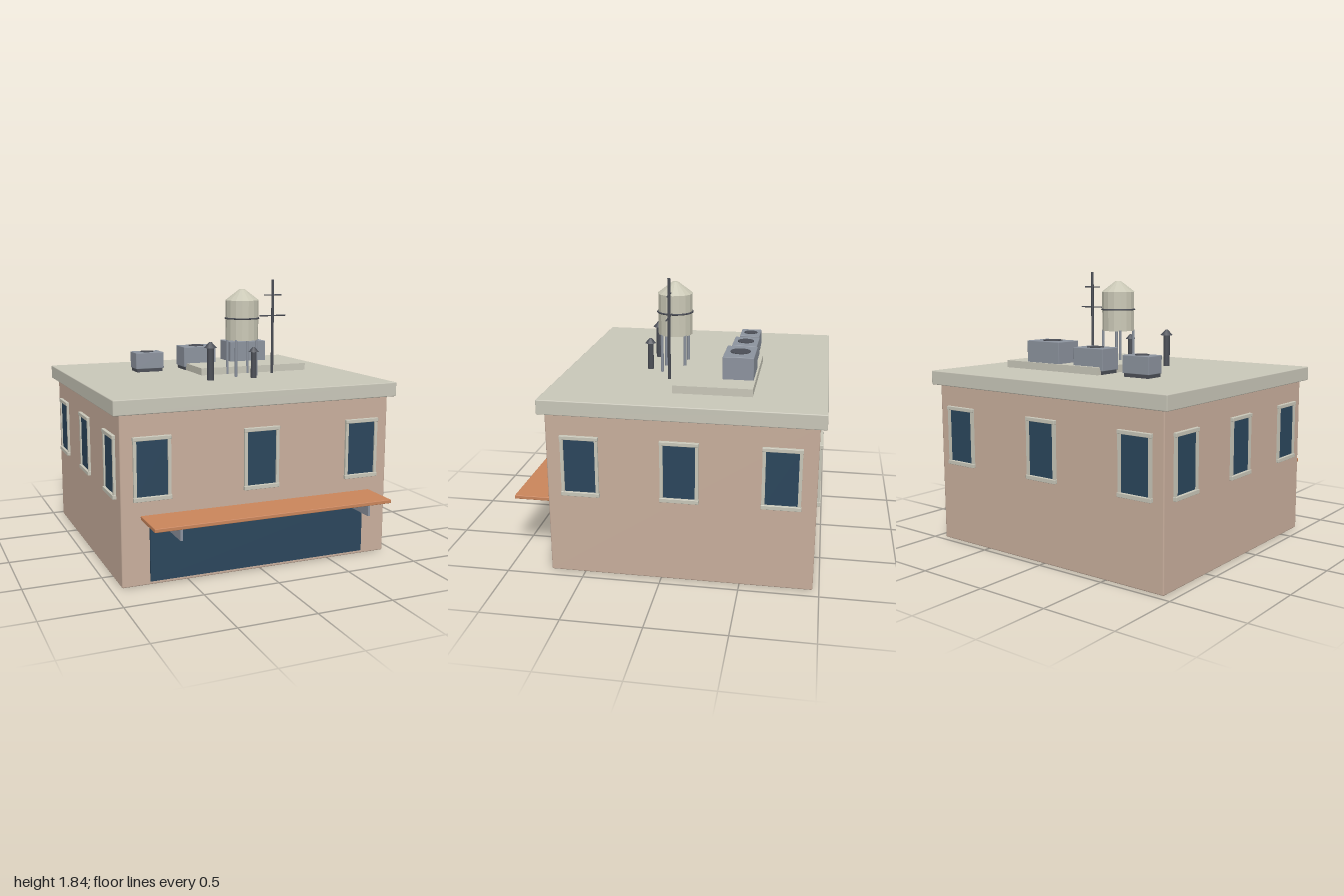
import * as THREE from 'three';
import { RoundedBoxGeometry } from 'three/addons/geometries/RoundedBoxGeometry.js';

const mat = (name, color, flatShading = false) => {
  const m = new THREE.MeshStandardMaterial({ color, flatShading });
  m.name = name;
  return m;
};

export function createModel() {
  const plaster = mat('plaster', 0xc9af9d);
  const stone = mat('stone', 0xc9c7b9);
  const tankPaint = mat('tankPaint', 0xc9c7b5, true);
  const glass = mat('glass', 0x2b465c);
  const awningPaint = mat('awningPaint', 0xca855b);
  const metal = mat('metal', 0x8c939e);
  const darkMetal = mat('darkMetal', 0x4b4e56);

  const model = new THREE.Group();
  model.name = 'building';

  const add = (parent, name, geometry, material, x, y, z) => {
    const mesh = new THREE.Mesh(geometry, material);
    mesh.name = name;
    mesh.position.set(x, y, z);
    parent.add(mesh);
    return mesh;
  };
  // Box given by its lower and upper limits, with an optional softened edge
  const box = (parent, name, material, [x0, x1], [y0, y1], [z0, z1], bevel = 0) => {
    const s = [x1 - x0, y1 - y0, z1 - z0];
    const geo = bevel ? new RoundedBoxGeometry(...s, 1, bevel) : new THREE.BoxGeometry(...s);
    return add(parent, name, geo, material, (x0 + x1) / 2, (y0 + y1) / 2, (z0 + z1) / 2);
  };
  // Upright cylinder between two heights
  const post = (parent, name, material, x, z, y0, y1, rBottom, rTop = rBottom, sides = 12) =>
    add(parent, name, new THREE.CylinderGeometry(rTop, rBottom, y1 - y0, sides), material, x, (y0 + y1) / 2, z);

  // Main block and overhanging roof slab
  const halfW = 0.93, zFront = 0.725, zBack = -0.96, zMid = -0.118;
  const roofY = 1.175;
  box(model, 'walls', plaster, [-halfW, halfW], [0, 1.09], [zBack, zFront], 0.008);
  box(model, 'roofSlab', stone, [-0.975, 0.975], [1.08, roofY], [-1, 0.763], 0.006);

  // Framed window, built facing +z and turned onto its wall
  const addWindow = (x, z, turn) => {
    const w = new THREE.Group();
    w.name = 'window';
    box(w, 'windowGlass', glass, [-0.105, 0.105], [0.56, 0.92], [-0.003, 0.006]);
    for (const s of [-1, 1]) {
      const xs = [s * 0.1, s * 0.12].sort((a, b) => a - b);
      box(w, 'windowJamb', stone, xs, [0.56, 0.92], [-0.005, 0.016]);
    }
    box(w, 'windowLintel', stone, [-0.123, 0.123], [0.915, 0.94], [-0.005, 0.021], 0.003);
    box(w, 'windowSill', stone, [-0.123, 0.123], [0.54, 0.567], [-0.005, 0.023], 0.003);
    w.position.set(x, 0, z);
    w.rotation.y = turn;
    model.add(w);
  };
  for (const i of [-1, 0, 1]) {
    addWindow(i * 0.73, zFront, 0);
    addWindow(i * 0.73, zBack, Math.PI);
    addWindow(halfW, zMid + i * 0.628, Math.PI / 2);
    addWindow(-halfW, zMid + i * 0.628, -Math.PI / 2);
  }

  // Shop front with awning on two brackets
  box(model, 'shopWindow', glass, [-0.75, 0.75], [0.025, 0.393], [0.72, 0.739]);
  box(model, 'awning', awningPaint, [-0.805, 0.805], [0.423, 0.447], [0.72, 1], 0.004);
  for (const s of [-1, 1]) {
    box(model, 'awningBracket', metal, [s * 0.64 - 0.007, s * 0.64 + 0.007], [0.355, 0.424], [0.72, 0.998]);
  }

  // Raised roof platform
  box(model, 'roofPlatform', stone, [-0.11, 0.71], [1.17, 1.225], [-0.54, -0.037]);

  // Cooling units: centre x, width, depth, top, fan radius
  for (const [x, w, d, top, r] of [
    [-0.385, 0.21, 0.142, 1.315, 0.047],
    [-0.002, 0.25, 0.17, 1.345, 0.056],
    [0.38, 0.29, 0.2, 1.372, 0.066],
  ]) {
    const unit = new THREE.Group();
    unit.name = 'coolingUnit';
    const z = -0.428;
    box(unit, 'unitBase', darkMetal, [x - w * 0.46, x + w * 0.46], [1.17, 1.2], [z - d * 0.46, z + d * 0.46]);
    box(unit, 'unitCase', metal, [x - w / 2, x + w / 2], [1.198, top], [z - d / 2, z + d / 2], 0.004);
    post(unit, 'unitFan', darkMetal, x, z, top - 0.003, top + 0.005, r, r, 16);
    model.add(unit);
  }

  // Water tank on four legs
  const tank = new THREE.Group();
  tank.name = 'waterTank';
  const tx = 0.167, tz = 0.035;
  post(tank, 'tankBody', tankPaint, tx, tz, 1.425, 1.7, 0.115, 0.115, 16);
  post(tank, 'tankRoof', tankPaint, tx, tz, 1.7, 1.775, 0.118, 0.02, 16);
  const band = add(tank, 'tankBand', new THREE.TorusGeometry(0.117, 0.006, 6, 24), darkMetal, tx, 1.576, tz);
  band.rotation.x = Math.PI / 2;
  for (const sx of [-1, 1]) for (const sz of [-1, 1]) {
    post(tank, 'tankLeg', metal, tx + sx * 0.077, tz + sz * 0.077, 1.17, 1.43, 0.01, 0.01, 8);
  }
  model.add(tank);

  // Antenna mast with two crossbars
  const antenna = new THREE.Group();
  antenna.name = 'antenna';
  post(antenna, 'mast', darkMetal, 0.405, 0.035, 1.17, 1.838, 0.01, 0.01, 8);
  for (const [y, half] of [[1.587, 0.1], [1.732, 0.066]]) {
    const bar = add(antenna, 'crossbar', new THREE.CylinderGeometry(0.005, 0.005, half * 2, 6), darkMetal, 0.405, y, 0.035);
    bar.rotation.z = Math.PI / 2;
  }
  model.add(antenna);

  // Vent pipes with conical caps: x, cap height, pipe radius, cap radius
  for (const [x, capY, r, capR] of [[-0.138, 1.395, 0.023, 0.044], [0.183, 1.355, 0.02, 0.036]]) {
    const vent = new THREE.Group();
    vent.name = 'ventPipe';
    post(vent, 'pipe', darkMetal, x, 0.203, 1.17, capY, r);
    post(vent, 'pipeCap', darkMetal, x, 0.203, capY, capY + capR * 0.88, capR, 0.008);
    model.add(vent);
  }

  return model;
}
